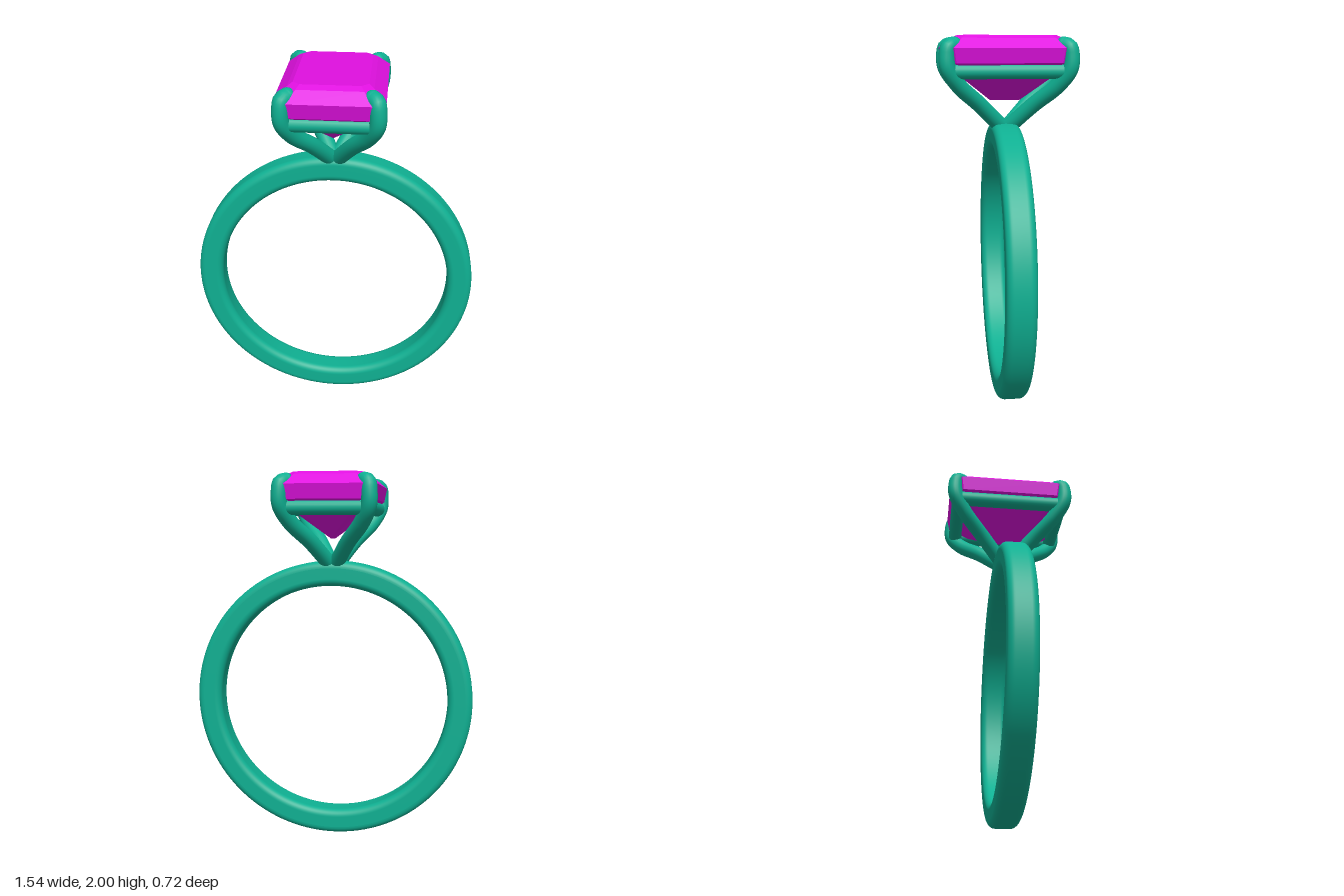
import * as THREE from 'three';

const metal = new THREE.MeshStandardMaterial({ color: 0x0fb092 });
const stone = new THREE.MeshStandardMaterial({ color: 0xe010e0, flatShading: true });

function part(name, geometry, material, parent) {
  const mesh = new THREE.Mesh(geometry, material);
  mesh.name = name;
  parent.add(mesh);
  return mesh;
}

// Rounded-rectangle section swept round the finger hole
function bandGeometry(inner, outer, halfWidth, r) {
  const pts = [];
  const corners = [[outer - r, -halfWidth + r, -90], [outer - r, halfWidth - r, 0],
    [inner + r, halfWidth - r, 90], [inner + r, -halfWidth + r, 180]];
  for (const [cx, cy, start] of corners) {
    for (let i = 0; i <= 8; i++) {
      const a = THREE.MathUtils.degToRad(start + i * 90 / 8);
      pts.push(new THREE.Vector2(cx + r * Math.cos(a), cy + r * Math.sin(a)));
    }
  }
  pts.push(pts[0].clone());
  return new THREE.LatheGeometry(pts, 128).rotateX(Math.PI / 2);
}

// Step-cut stone from stacked cut-corner rectangles: [y, half x, half z, corner cut]
function gemGeometry(rings) {
  const pos = [], index = [];
  for (const [y, x, z, c] of rings) {
    pos.push(x, y, z - c, x - c, y, z, -x + c, y, z, -x, y, z - c,
      -x, y, -z + c, -x + c, y, -z, x - c, y, -z, x, y, -z + c);
  }
  for (let k = 0; k < rings.length - 1; k++) {
    for (let i = 0; i < 8; i++) {
      const a = k * 8 + i, b = k * 8 + (i + 1) % 8;
      index.push(a, a + 8, b, b, a + 8, b + 8);
    }
  }
  // table on top
  const t = (rings.length - 1) * 8;
  for (let i = 1; i < 7; i++) index.push(t, t + i + 1, t + i);
  const g = new THREE.BufferGeometry();
  g.setAttribute('position', new THREE.Float32BufferAttribute(pos, 3));
  g.setIndex(index);
  const flat = g.toNonIndexed();
  flat.computeVertexNormals();
  return flat;
}

export function createModel() {
  const ring = new THREE.Group();
  ring.name = 'ring';

  part('band', bandGeometry(0.635, 0.77, 0.075, 0.038), metal, ring).position.y = 0.77;

  // keel, pavilion, girdle, crown step, table
  part('gem', gemGeometry([
    [1.66, 0, 0.08, 0],
    [1.86, 0.25, 0.33, 0.06],
    [1.935, 0.265, 0.345, 0.065],
    [1.985, 0.205, 0.285, 0.045],
    [2.0, 0.18, 0.25, 0.035],
  ]), stone, ring);

  const setting = new THREE.Group();
  setting.name = 'setting';
  ring.add(setting);

  // Four prongs rise from the band and hook over the gem corners
  const r = 0.042;
  const path = [[0.015, 1.52, 0.02], [0.1, 1.645, 0.145], [0.185, 1.745, 0.255],
    [0.226, 1.83, 0.311], [0.228, 1.9, 0.316], [0.222, 1.94, 0.306], [0.2, 1.95, 0.28]];
  for (const sx of [1, -1]) {
    for (const sz of [1, -1]) {
      const pts = path.map(([x, y, z]) => new THREE.Vector3(sx * x, y, sz * z));
      const name = (sz > 0 ? 'front' : 'back') + (sx > 0 ? 'Left' : 'Right') + 'Prong';
      part(name, new THREE.TubeGeometry(new THREE.CatmullRomCurve3(pts), 48, r, 20), metal, setting);
      for (const end of [pts[0], pts[pts.length - 1]]) {
        part(name + 'End', new THREE.SphereGeometry(r, 20, 14), metal, setting).position.copy(end);
      }
    }
  }

  // Rails joining the prongs under the girdle
  const hx = 0.212, hz = 0.293, y = 1.82;
  for (const s of [1, -1]) {
    const across = part(s > 0 ? 'frontRail' : 'backRail',
      new THREE.CylinderGeometry(0.04, 0.04, 2 * hx, 20).rotateZ(Math.PI / 2), metal, setting);
    across.position.set(0, y, s * hz);
    const along = part(s > 0 ? 'leftRail' : 'rightRail',
      new THREE.CylinderGeometry(0.04, 0.04, 2 * hz, 20).rotateX(Math.PI / 2), metal, setting);
    along.position.set(s * hx, y, 0);
  }
  return ring;
}
